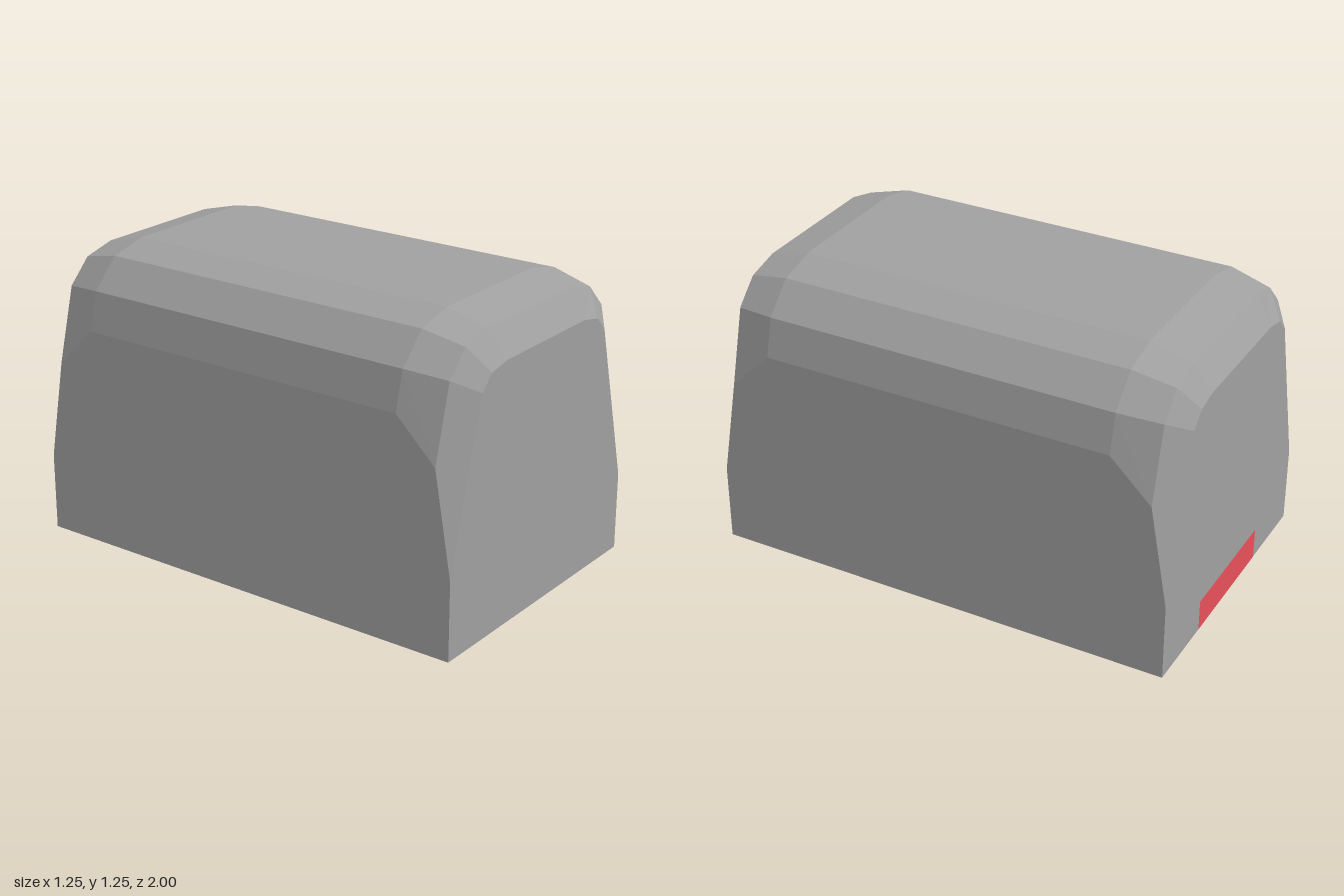
import * as THREE from 'three';

// Half outline of each cross-section, from the bottom corner up to the roof
const middle = [[0.623, 0], [0.623, 0.93], [0.583, 1.09], [0.465, 1.21], [0.305, 1.25]];
const shoulder = [[0.623, 0], [0.623, 0.76], [0.542, 1.07], [0.442, 1.17], [0.302, 1.205]];
const end = [[0.623, 0], [0.623, 0.33], [0.44, 1.01], [0.38, 1.07], [0.28, 1.09]];

// Full outline, counter-clockwise when seen from the front
const mirrored = (half) => [...half, ...half.map(([x, y]) => [-x, y]).reverse()];

function loft(sections) {
  const rings = sections.map(([z, half]) => mirrored(half).map(([x, y]) => [x, y, z]));
  const n = rings[0].length;
  const last = rings.length - 1;
  const positions = [];
  const tri = (a, b, c) => positions.push(...a, ...b, ...c);

  // Walls, roof and floor
  for (let k = 0; k < last; k++) {
    for (let j = 0; j < n; j++) {
      const m = (j + 1) % n;
      const a = rings[k][j], b = rings[k][m], c = rings[k + 1][j], d = rings[k + 1][m];
      tri(a, b, d);
      tri(a, d, c);
    }
  }
  // End faces
  for (let j = 1; j < n - 1; j++) {
    tri(rings[last][0], rings[last][j], rings[last][j + 1]);
    tri(rings[0][0], rings[0][j + 1], rings[0][j]);
  }

  const geometry = new THREE.BufferGeometry();
  geometry.setAttribute('position', new THREE.Float32BufferAttribute(positions, 3));
  geometry.computeVertexNormals();
  return geometry;
}

export function createModel() {
  const model = new THREE.Group();

  // Chamfered housing, the same at both ends
  const body = new THREE.Mesh(
    loft([[-1, end], [-0.925, shoulder], [-0.75, middle], [0.75, middle], [0.925, shoulder], [1, end]]),
    new THREE.MeshStandardMaterial({ color: 0xa0a0a0, flatShading: true }),
  );
  body.name = 'body';
  model.add(body);

  // Red block set flush into the lower back edge, barely proud of the housing
  const proud = 0.0005;
  const insert = new THREE.Mesh(
    new THREE.BoxGeometry(0.56, 0.135, 0.5),
    new THREE.MeshStandardMaterial({ color: 0xe75058 }),
  );
  insert.name = 'rearInsert';
  insert.position.set(0, 0.0675 - proud, -0.75 - proud);
  model.add(insert);

  return model;
}
